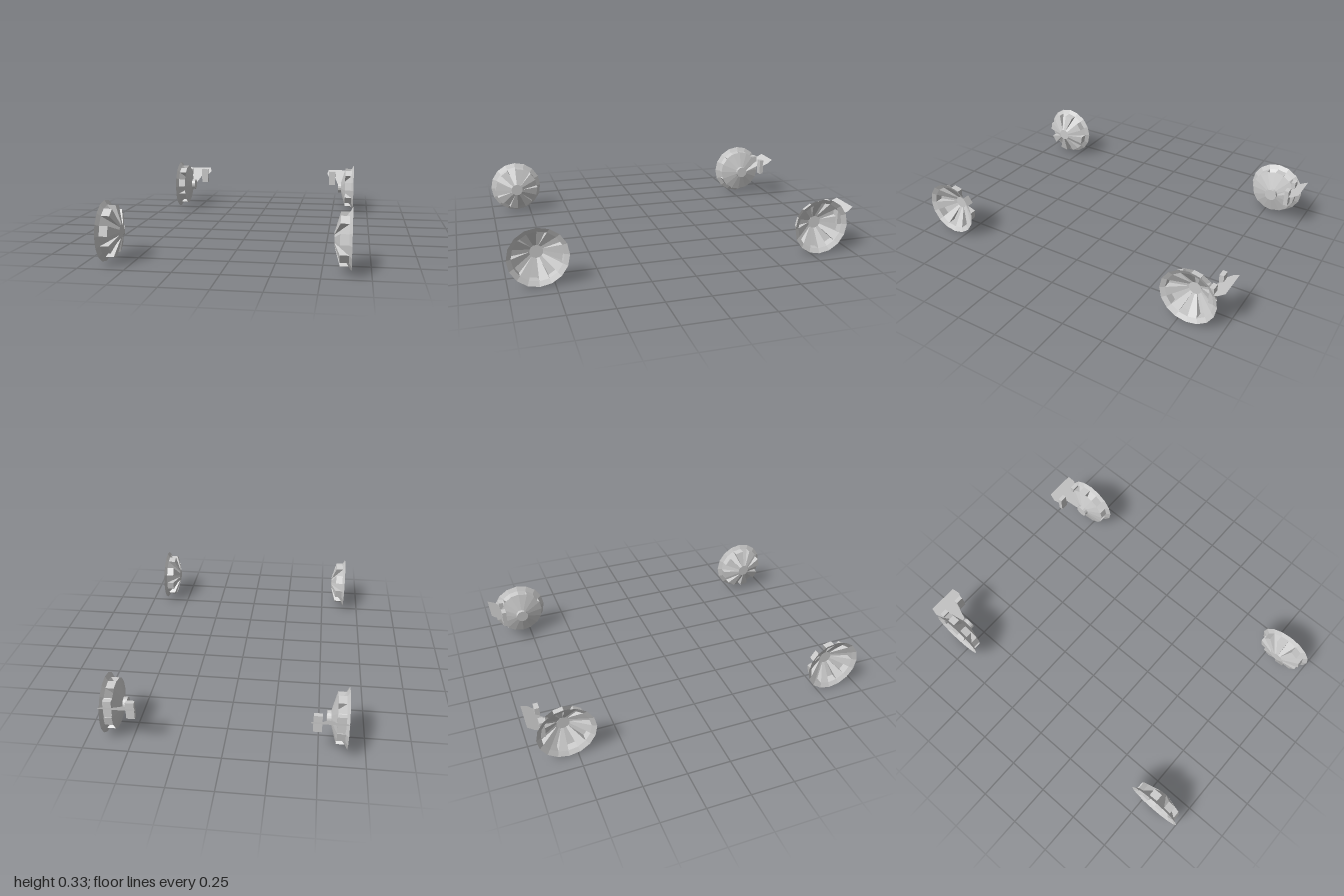
import * as THREE from 'three';

const material = new THREE.MeshStandardMaterial({ color: 0xcccccc, flatShading: true, side: THREE.DoubleSide });

function mesh(geometry, name) {
  const m = new THREE.Mesh(geometry, material);
  m.name = name;
  return m;
}

// Dished rim: 16 sectors, every second one pressed out into a spoke pocket
function rimGeometry() {
  const lip = [0.65, 0.166], bead = [0.635, 0.14], step = [0.59, 0.14], hub = [0.56, 0.037];
  const positions = [];
  const at = ([x, r], i) => {
    const a = (i * Math.PI) / 8;
    return [x, r * Math.sin(a), r * Math.cos(a)];
  };
  const tri = (...points) => points.forEach(p => positions.push(...p));
  const strip = (p, q, i) => {
    tri(at(p, i), at(p, i + 1), at(q, i + 1));
    tri(at(p, i), at(q, i + 1), at(q, i));
  };
  for (let i = 0; i < 16; i++) {
    strip(lip, bead, i);
    if (i % 2 === 0) {
      strip(bead, step, i);
      strip(step, hub, i);
      // side walls of the pocket
      tri(at(bead, i), at(step, i), at(hub, i));
      tri(at(bead, i + 1), at(hub, i + 1), at(step, i + 1));
    } else {
      strip(bead, hub, i);
    }
    // hub disc
    tri(at(hub, i), at(hub, i + 1), [hub[0], 0, 0]);
  }
  const g = new THREE.BufferGeometry();
  g.setAttribute('position', new THREE.Float32BufferAttribute(positions, 3));
  g.computeVertexNormals();
  return g;
}

// Thin sloping plate, high at the back and reaching down to the axle
function plateGeometry() {
  const half = [[0.09, -1], [0.1, -0.962], [0.086, -0.932], [0.042, -0.93], [0.01, -0.84]];
  const outline = [...half, ...half.map(([x, z]) => [-x, z]).reverse()];
  const g = new THREE.ShapeGeometry(new THREE.Shape(outline.map(([x, z]) => new THREE.Vector2(x, z))));
  const p = g.attributes.position;
  for (let i = 0; i < p.count; i++) {
    const z = p.getY(i);
    p.setXYZ(i, p.getX(i) + 0.55, 0.175 - 0.6 * (z + 0.84), z);
  }
  g.computeVertexNormals();
  return g;
}

function createBracket() {
  const bracket = new THREE.Group();
  bracket.name = 'rearBracket';
  bracket.add(mesh(plateGeometry(), 'bracketPlate'));
  // upright tabs on both edges of the plate
  for (const side of [-1, 1]) {
    const tab = mesh(new THREE.BoxGeometry(0.046, 0.1, 0.026), 'bracketTab');
    tab.position.set(0.55 + side * 0.061, 0.22, -0.922);
    bracket.add(tab);
  }
  return bracket;
}

function createWheel(z, rear) {
  const wheel = new THREE.Group();
  wheel.name = rear ? 'rearWheel' : 'frontWheel';
  wheel.position.set(0, 0.17, z);
  wheel.add(mesh(rimGeometry(), 'rim'));
  if (rear) {
    // conical backing cover and stub axle
    const cover = mesh(new THREE.CylinderGeometry(0.138, 0.037, 0.03, 16, 1, true), 'backCover');
    cover.rotation.z = -Math.PI / 2;
    cover.position.x = 0.5745;
    const axle = mesh(new THREE.CylinderGeometry(0.037, 0.037, 0.024, 16), 'stubAxle');
    axle.rotation.z = -Math.PI / 2;
    axle.position.x = 0.549;
    wheel.add(cover, axle);
  }
  return wheel;
}

export function createModel() {
  const model = new THREE.Group();
  model.name = 'wheelSet';
  for (const side of [1, -1]) {
    const half = new THREE.Group();
    half.name = side > 0 ? 'leftSide' : 'rightSide';
    half.add(createWheel(0.834, false), createWheel(-0.8, true), createBracket());
    half.scale.x = side;
    model.add(half);
  }
  return model;
}
